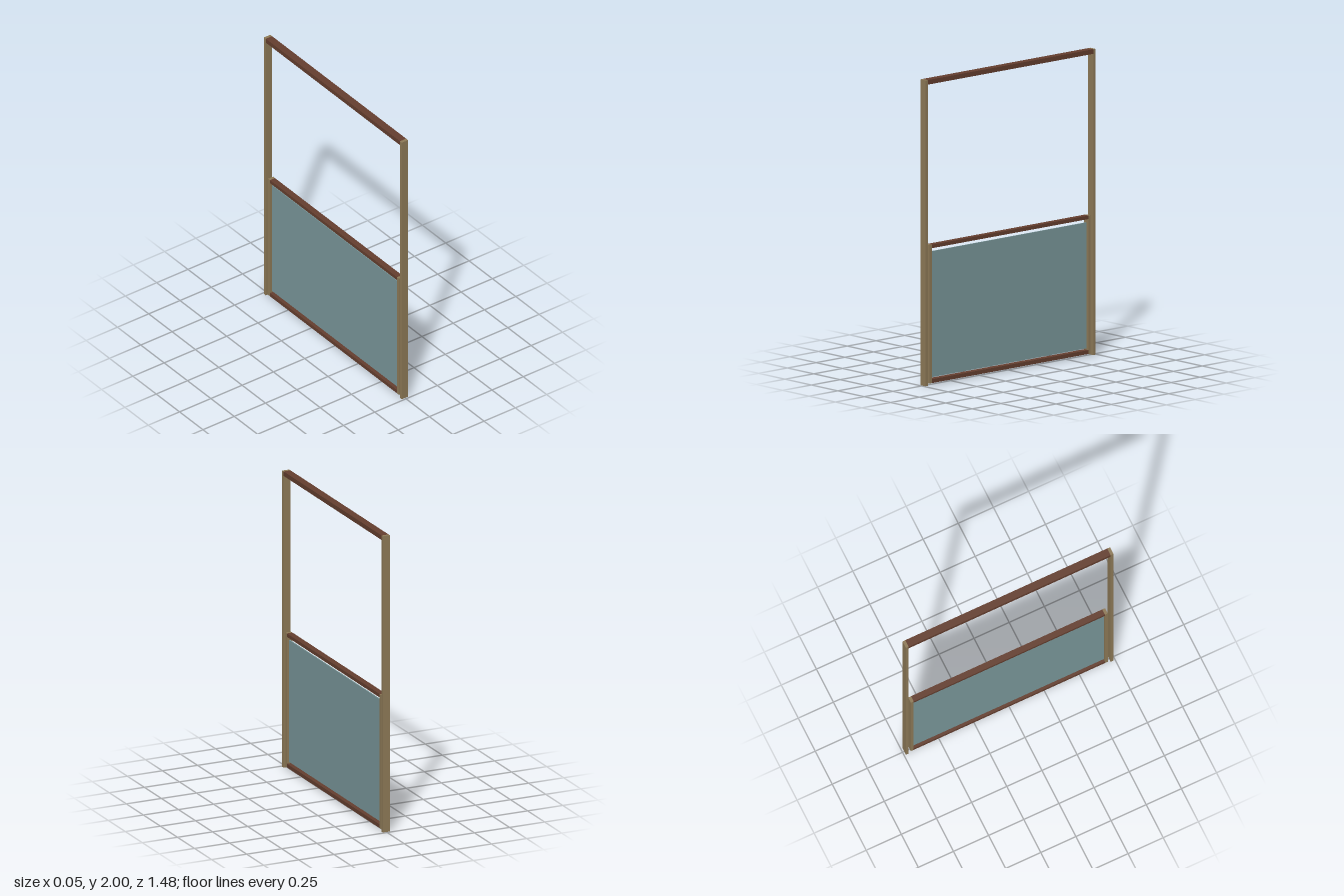
import * as THREE from 'three';

export function createModel() {
  const model = new THREE.Group();
  model.name = 'slidingSashFrame';

  const paint = (name, color) => {
    const m = new THREE.MeshStandardMaterial({ color });
    m.name = name;
    return m;
  };
  const tan = paint('tan wood', 0x8f7b58);
  const brown = paint('dark brown wood', 0x653f2f);
  const glass = paint('blue grey glass', 0x7b999c);

  // Box centred on x, given its y and z ranges
  const bar = (name, parent, material, width, y0, y1, z0, z1) => {
    const mesh = new THREE.Mesh(new THREE.BoxGeometry(width, y1 - y0, z1 - z0), material);
    mesh.name = name;
    mesh.position.set(0, (y0 + y1) / 2, (z0 + z1) / 2);
    parent.add(mesh);
  };

  // Outer frame: two tall posts and a head rail
  const frame = new THREE.Group();
  frame.name = 'outerFrame';
  bar('frontPost', frame, tan, 0.05, 0, 2, 0.718, 0.738);
  bar('backPost', frame, tan, 0.05, 0, 2, -0.738, -0.718);
  bar('headRail', frame, brown, 0.05, 1.97, 2, -0.718, 0.718);

  // Lower sash: stiles, rails and a pane with narrow gaps above and below
  const sash = new THREE.Group();
  sash.name = 'lowerSash';
  bar('frontStile', sash, tan, 0.04, 0.012, 0.917, 0.68, 0.7);
  bar('backStile', sash, tan, 0.04, 0.012, 0.917, -0.7, -0.68);
  bar('topRail', sash, brown, 0.04, 0.894, 0.917, -0.68, 0.68);
  bar('bottomRail', sash, brown, 0.04, 0.012, 0.037, -0.68, 0.68);
  bar('pane', sash, glass, 0.008, 0.047, 0.87, -0.68, 0.68);

  model.add(frame, sash);
  return model;
}
